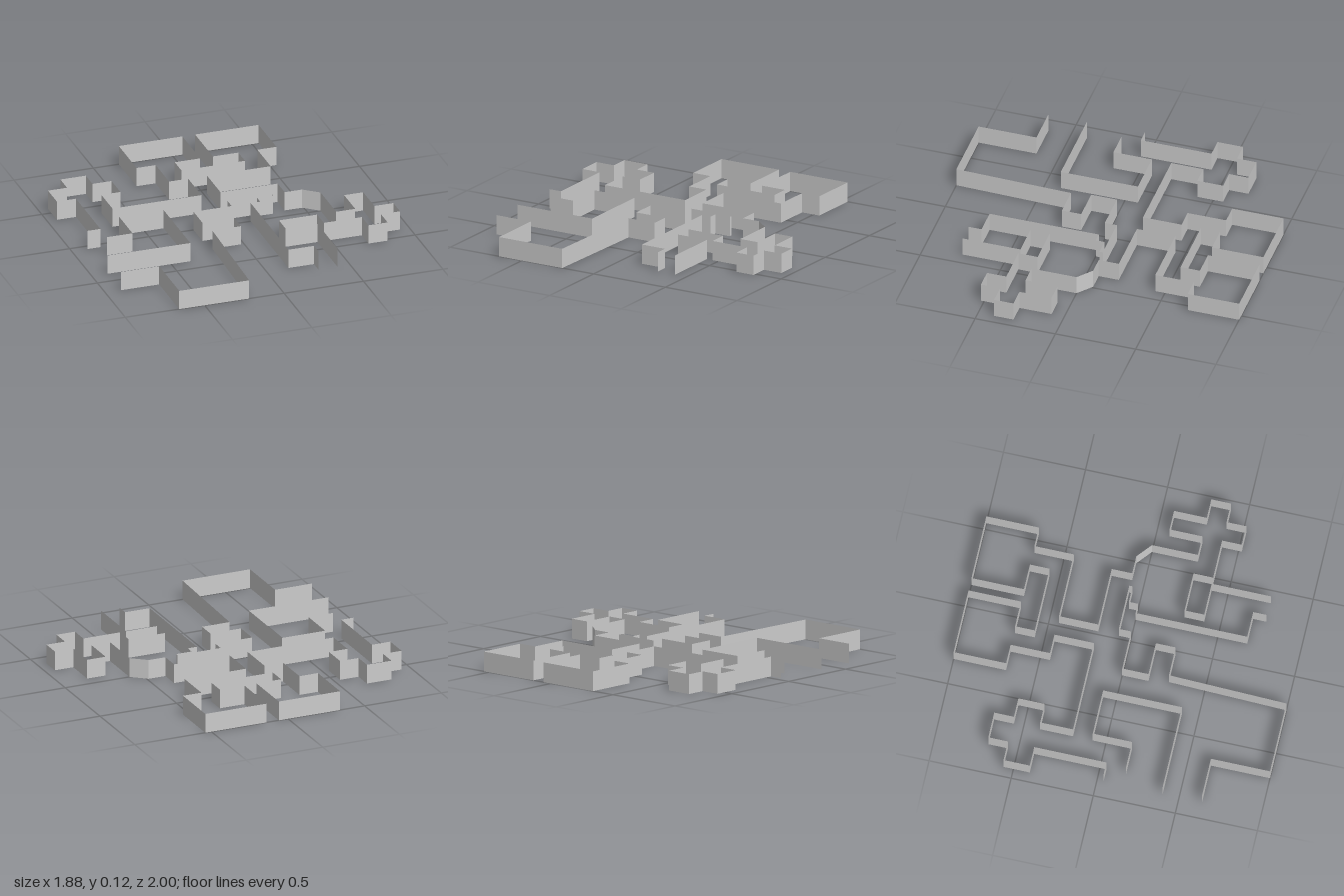
import * as THREE from 'three';

const HEIGHT = 0.12;
const material = new THREE.MeshStandardMaterial({
  color: 0xcccccc, flatShading: true, side: THREE.DoubleSide,
});

// Thin upright wall following a plan path of [x, z] corners
function wall(name, path) {
  const positions = [];
  for (let i = 0; i < path.length - 1; i++) {
    const [ax, az] = path[i], [bx, bz] = path[i + 1];
    positions.push(
      ax, 0, az, bx, 0, bz, bx, HEIGHT, bz,
      ax, 0, az, bx, HEIGHT, bz, ax, HEIGHT, az,
    );
  }
  const geometry = new THREE.BufferGeometry();
  geometry.setAttribute('position', new THREE.Float32BufferAttribute(positions, 3));
  geometry.computeVertexNormals();
  const mesh = new THREE.Mesh(geometry, material);
  mesh.name = name;
  return mesh;
}

// Mirror a plan path about a line of constant x
const mirrorX = (path, axis) => path.map(([x, z]) => [2 * axis - x, z]);

export function createModel() {
  const group = new THREE.Group();
  group.name = 'floorPlanWalls';

  // Front room, from the side doorway round to the front doorway
  group.add(wall('frontRoomWall', [
    [-0.90, 0.64], [-0.66, 0.64], [-0.66, 1], [-0.22, 1], [-0.20, 0.28],
    [-0.02, 0.28], [-0.02, 0.16], [-0.22, 0.16], [-0.22, 0], [0.02, 0],
    [0.02, -0.075], [0.30, -0.075], [0.30, -0.055], [0.20, -0.055],
    [0.20, 0], [0.14, 0], [0.14, 0.68], [0.30, 0.68], [0.30, 0.76],
  ]));

  // Cross-shaped room on the left, with the chamfered corner behind it
  group.add(wall('leftRoomWall', [
    [0.42, 0.76], [0.42, 0.40], [0.22, 0.40], [0.22, 0.28], [0.46, 0.28],
    [0.46, 0.40], [0.70, 0.40], [0.70, 0.52], [0.82, 0.52], [0.82, 0.40],
    [0.94, 0.40], [0.94, 0.28], [0.82, 0.28], [0.82, 0.08], [0.70, 0.08],
    [0.70, 0.28], [0.58, 0.28], [0.58, 0], [0.49, -0.075], [0.38, -0.075],
    [0.38, -0.20], [0.02, -0.20], [0.02, -0.44], [0.42, -0.44],
  ]));

  // Twin back rooms, mirrored about their shared centre line
  const backHalf = [
    [0.42, -0.44], [0.42, -0.68], [0.54, -0.68], [0.54, -1], [0.14, -1],
    [0.14, -0.68], [0.30, -0.68], [0.30, -0.56], [0.10, -0.56],
  ];
  group.add(wall('backRoomLeftWall', backHalf));
  group.add(wall('backRoomRightWall', mirrorX(backHalf, 0.10)));

  // Back corridor and the cross-shaped room on the right
  group.add(wall('rightRoomWall', [
    [-0.22, -0.44], [-0.10, -0.44], [-0.10, -0.20], [-0.66, -0.20],
    [-0.66, -0.40], [-0.54, -0.40], [-0.54, -0.56], [-0.66, -0.56],
    [-0.66, -0.68], [-0.82, -0.68], [-0.82, -0.56], [-0.94, -0.56],
    [-0.94, -0.40], [-0.82, -0.40], [-0.82, 0.04], [-0.90, 0.04],
  ]));

  // Inner wall between the two side doorways
  group.add(wall('sidePassageWall', [
    [-0.82, 0.16], [-0.66, 0.16], [-0.66, -0.08], [-0.38, -0.08],
    [-0.38, 0.40], [-0.90, 0.40],
  ]));

  return group;
}
